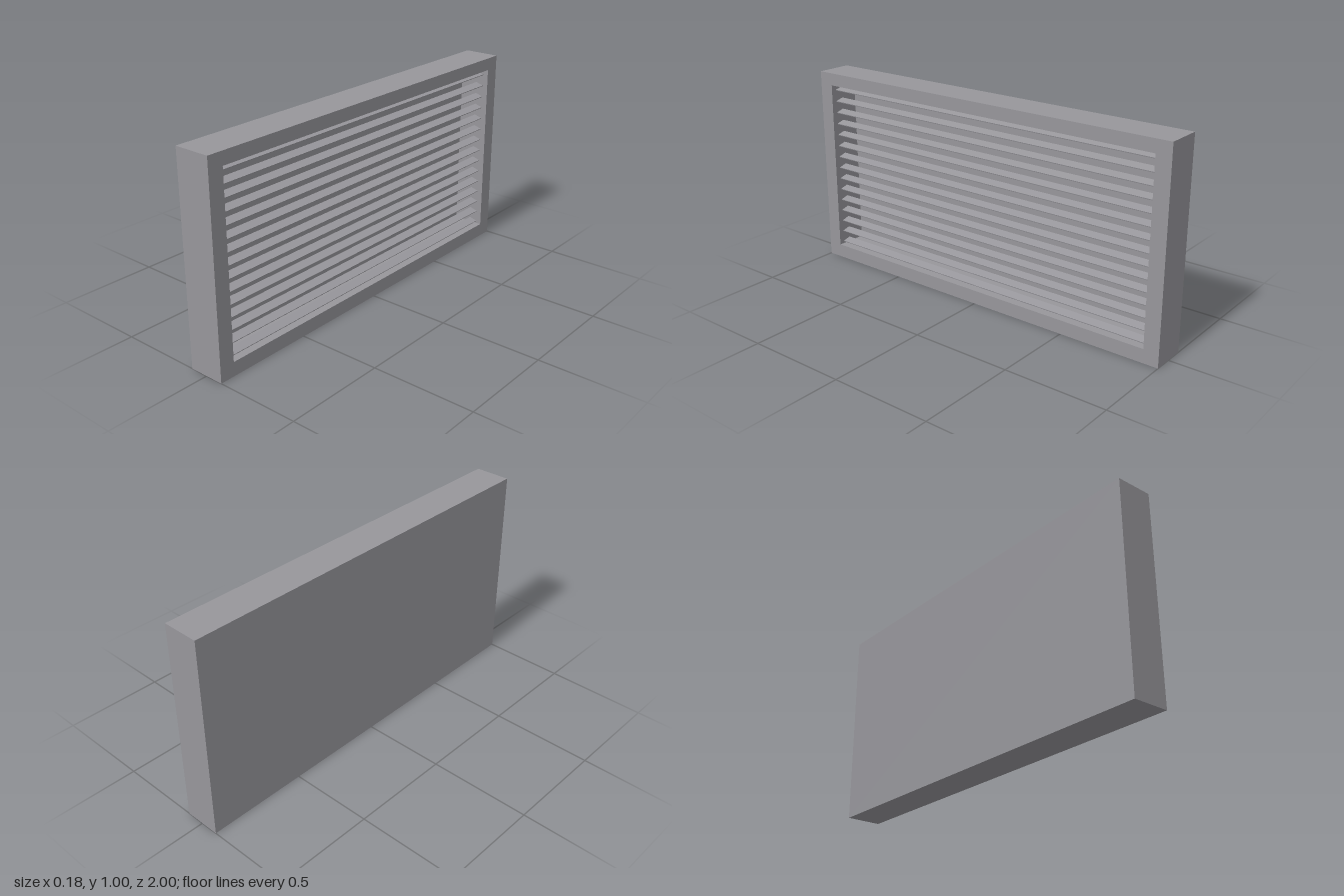
import * as THREE from 'three';

export function createModel() {
  const group = new THREE.Group();
  const grey = new THREE.MeshStandardMaterial({ color: 0x97969b });
  grey.name = 'metal grey';

  const add = (name, geometry, x, y, z) => {
    const mesh = new THREE.Mesh(geometry, grey);
    mesh.name = name;
    mesh.position.set(x, y, z);
    group.add(mesh);
    return mesh;
  };

  // rectangular outline in the z/y plane
  const rectangle = (target, halfWidth, bottom, top) => {
    target.moveTo(-halfWidth, bottom);
    target.lineTo(halfWidth, bottom);
    target.lineTo(halfWidth, top);
    target.lineTo(-halfWidth, top);
    target.closePath();
    return target;
  };

  const halfDepth = 0.09, backThickness = 0.022;
  const openHalf = 0.925, openBottom = 0.068, openTop = 0.938;

  // Housing: frame around the opening, facing +x
  const outline = rectangle(new THREE.Shape(), 1, 0, 1);
  outline.holes.push(rectangle(new THREE.Path(), openHalf, openBottom, openTop));
  const frame = new THREE.ExtrudeGeometry(outline, {
    depth: 2 * halfDepth - backThickness, bevelEnabled: false,
  });
  frame.rotateY(Math.PI / 2);
  add('frame', frame, -halfDepth + backThickness, 0, 0);

  // Closed back
  add('backPanel', new THREE.BoxGeometry(backThickness, 1, 2),
    -halfDepth + backThickness / 2, 0.5, 0);

  // Louvre slats, outer edge tipped down
  const slat = new THREE.BoxGeometry(0.043, 0.004, 2 * openHalf);
  const count = 15, lowest = 0.085, highest = 0.914;
  for (let i = 0; i < count; i++) {
    const y = lowest + (highest - lowest) * i / (count - 1);
    add('slat', slat, 0.042, y, 0).rotation.z = -0.27;
  }

  return group;
}
